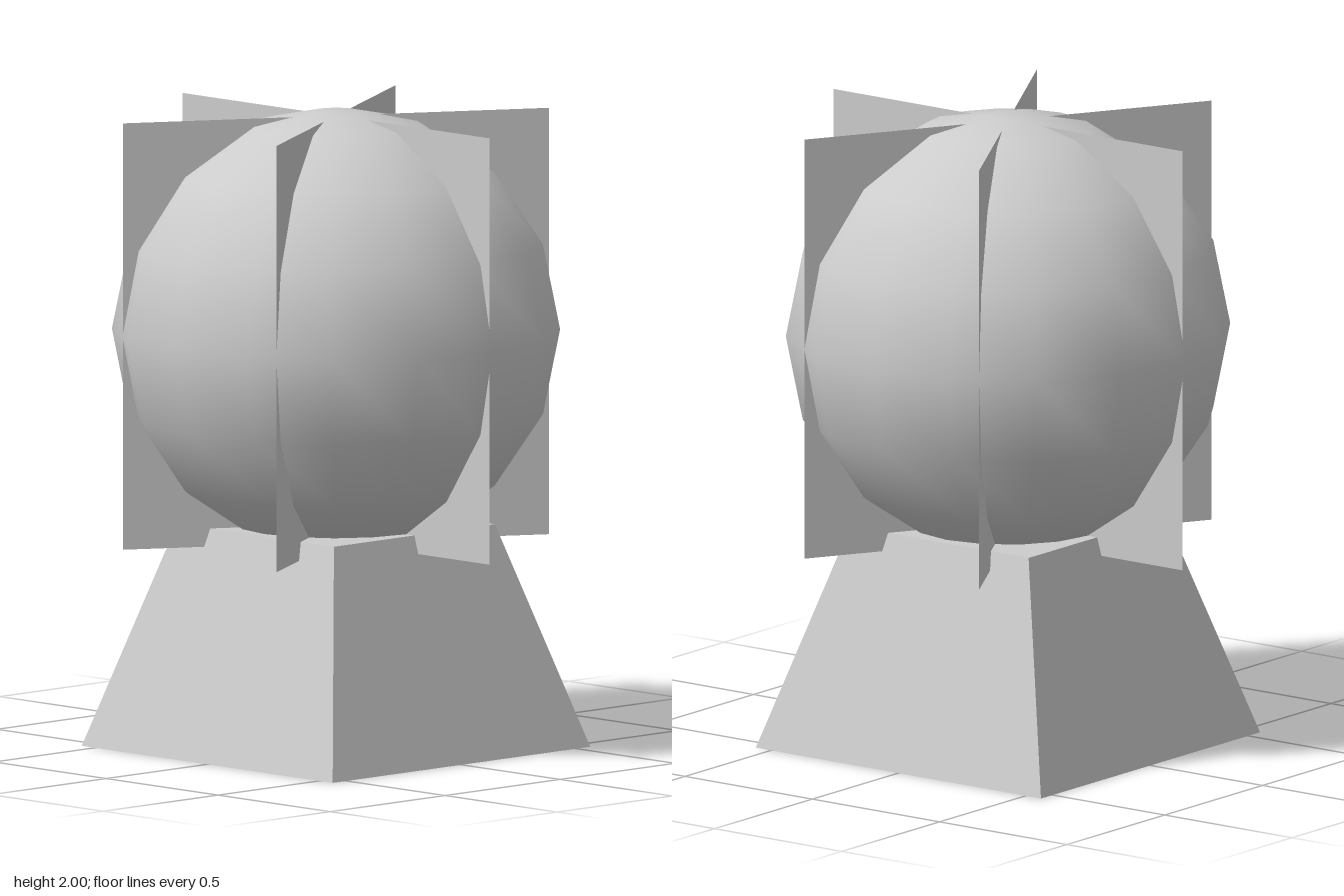
import * as THREE from 'three';

export function createModel() {
  const group = new THREE.Group();
  const material = new THREE.MeshStandardMaterial({ color: 0xcccccc });
  const thin = new THREE.MeshStandardMaterial({ color: 0xcccccc, side: THREE.DoubleSide });
  const add = (name, geometry, mat, y) => {
    const mesh = new THREE.Mesh(geometry, mat);
    mesh.name = name;
    mesh.position.y = y;
    group.add(mesh);
    return mesh;
  };

  // Square tapered pedestal, sharp-edged
  const base = new THREE.CylinderGeometry(0.35 * Math.SQRT2, 0.56 * Math.SQRT2, 0.7, 4)
    .rotateY(Math.PI / 4).toNonIndexed();
  base.computeVertexNormals();
  add('pedestal', base, material, 0.35);

  // Smooth globe: 16 sides, 8 bands, with slightly flattened poles
  const radius = 0.698, centre = 1.314, poleY = 2 - centre;
  const profile = [new THREE.Vector2(0, -poleY), new THREE.Vector2(0.07, -poleY)];
  for (let i = 1; i < 8; i++) {
    const a = (i * Math.PI) / 8;
    profile.push(new THREE.Vector2(radius * Math.sin(a), -radius * Math.cos(a)));
  }
  profile.push(new THREE.Vector2(0.07, poleY), new THREE.Vector2(0, poleY));
  add('globe', new THREE.LatheGeometry(profile, 16), material, centre);

  // Three crossing sheets form six fins around the globe
  for (let i = 0; i < 3; i++) {
    const fin = add('finPair' + (i + 1), new THREE.PlaneGeometry(1.37, 1.342), thin, centre);
    fin.rotation.y = (i * Math.PI) / 3;
  }

  return group;
}
